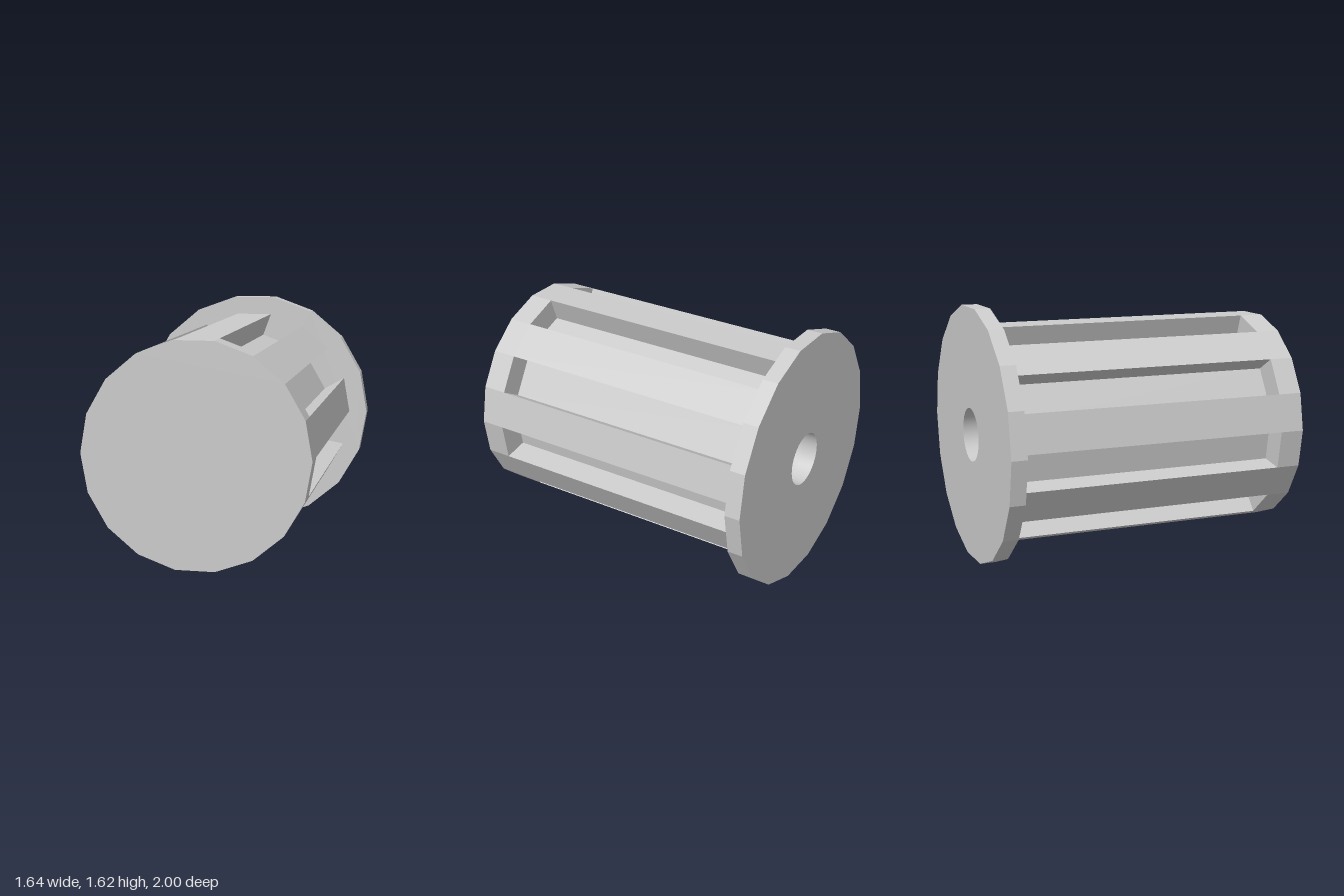
import * as THREE from 'three';
import { toCreasedNormals } from 'three/addons/utils/BufferGeometryUtils.js';

const SIDES = 18;
const STEP = (Math.PI * 2) / SIDES;
const CENTRE_Y = 0.81;
const BODY_R = 0.697;
const FLANGE_R = 0.82;
const BORE_R = 0.17;
const SLOT_DEPTH = 0.158;

const corner = (r, i) => new THREE.Vector2(r * Math.cos(i * STEP), r * Math.sin(i * STEP));

function polygon(r) {
  return Array.from({ length: SIDES }, (_, i) => corner(r, i));
}

// Polygon with a straight-sided slot sunk into every other face
function slottedPolygon(r, depth) {
  const points = [];
  for (let i = 1; i < SIDES; i += 2) {
    const a = (i + 0.5) * STEP;
    const inward = new THREE.Vector2(-Math.cos(a), -Math.sin(a)).multiplyScalar(depth);
    const start = corner(r, i);
    const end = corner(r, i + 1);
    points.push(start, start.clone().add(inward), end.clone().add(inward), end);
  }
  return points;
}

// Extrude an outline from z0 to z1, optionally with the round bore
function slab(name, points, z0, z1, bored, material) {
  const shape = new THREE.Shape(points);
  if (bored) shape.holes.push(new THREE.Path().absarc(0, 0, BORE_R, 0, Math.PI * 2, true));
  const geometry = new THREE.ExtrudeGeometry(shape, {
    depth: z1 - z0, bevelEnabled: false, curveSegments: 40,
  });
  const mesh = new THREE.Mesh(toCreasedNormals(geometry, 0.25), material);
  mesh.name = name;
  mesh.position.set(0, CENTRE_Y, z0);
  return mesh;
}

export function createModel() {
  const group = new THREE.Group();
  group.name = 'knob';
  const grey = new THREE.MeshStandardMaterial({ color: 0xcccccc });

  group.add(
    // Solid front end closing the slots and the bore
    slab('frontCap', polygon(BODY_R), 0.845, 1, false, grey),
    // Grip with nine lengthwise slots
    slab('slottedBody', slottedPolygon(BODY_R, SLOT_DEPTH), -0.9, 0.845, true, grey),
    // Wide rear disc with the shaft hole
    slab('rearFlange', polygon(FLANGE_R), -1, -0.9, true, grey),
  );
  return group;
}
